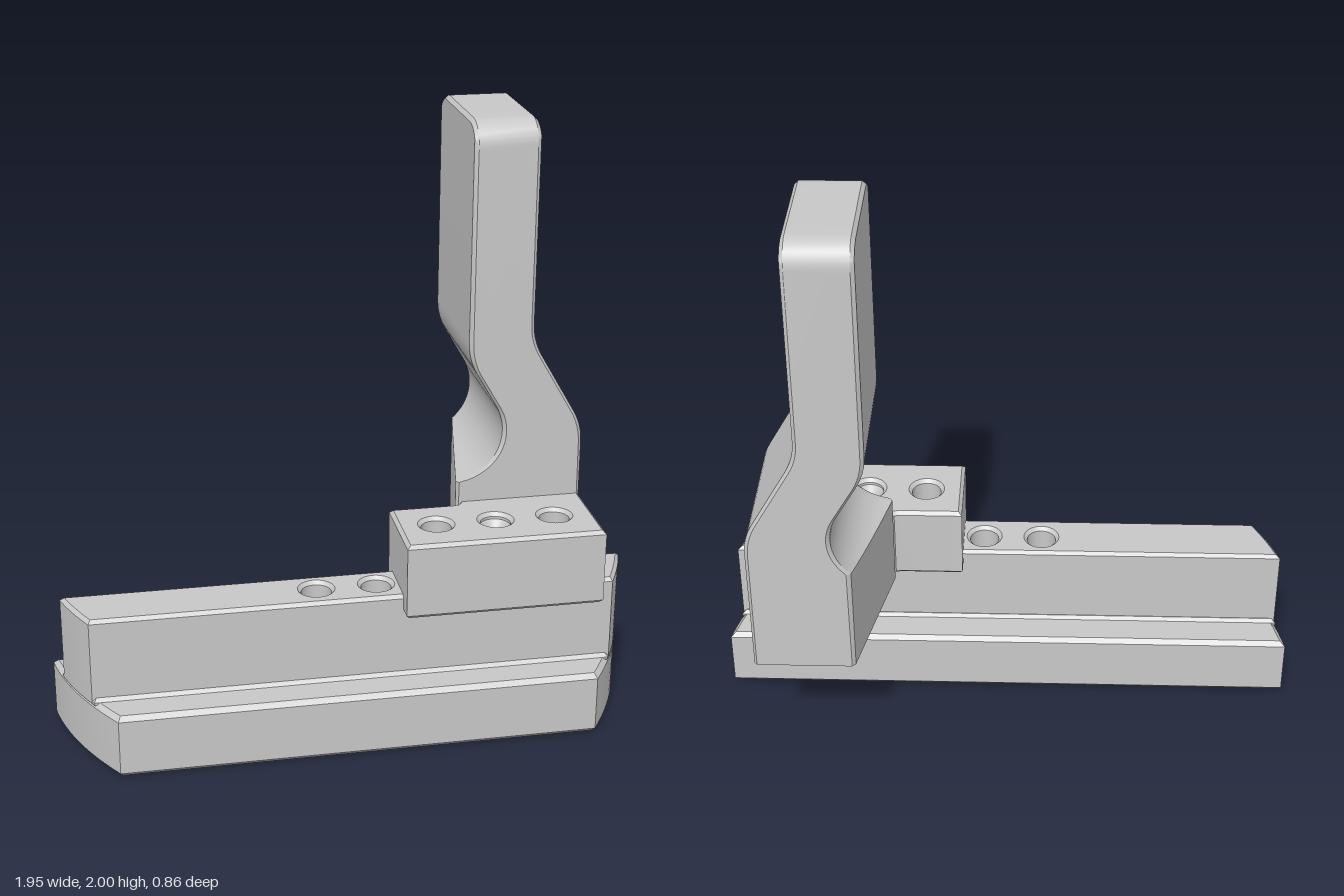
import * as THREE from 'three';
import { toCreasedNormals } from 'three/addons/utils/BufferGeometryUtils.js';

const V = (x, y) => new THREE.Vector2(x, y);
const BEVEL = 0.012;

// Upright block from a plan outline of [x, z] points, with chamfered round holes
function planBlock(outline, y0, y1, holes = [], bevel = BEVEL) {
  const shape = new THREE.Shape(outline.map(([x, z]) => V(x, -z)));
  for (const [x, z, r] of holes) {
    shape.holes.push(new THREE.Path().absarc(x, -z, r, 0, Math.PI * 2, true));
  }
  const geo = new THREE.ExtrudeGeometry(shape, {
    depth: y1 - y0 - 2 * bevel, curveSegments: 14, bevelEnabled: true,
    bevelSize: bevel, bevelThickness: bevel, bevelOffset: -bevel, bevelSegments: 1,
  });
  geo.rotateX(-Math.PI / 2).translate(0, y0 + bevel, 0);
  return toCreasedNormals(geo, 0.5);
}

// Plan outline of the rail between two depths, with bowed ends
function railOutline(z0, z1) {
  const end = z => 0.976 - 0.17 * z - 0.59 * z * z;
  const right = [];
  for (let i = 0; i <= 12; i++) {
    const z = z1 + (z0 - z1) * i / 12;
    right.push([end(z), z]);
  }
  return [...right, ...right.map(([x, z]) => [-x, z]).reverse()];
}

// Softened corner b between a and c, starting t away from it
function softCorner(a, b, c, t) {
  const p = b.clone().add(a.clone().sub(b).setLength(t));
  const q = b.clone().add(c.clone().sub(b).setLength(t));
  return new THREE.QuadraticBezierCurve(p, b, q).getPoints(6);
}

// Side outline of the arm, anticlockwise, for a given lower wall and top height
function armProfile(wall, top, inset) {
  const cx = 0.37, cy = 0.955, r = 0.175, start = Math.PI / 6;
  const stop = -Math.acos((wall - cx) / r);
  const neck = V(cx + r * Math.cos(start), cy + r * Math.sin(start));
  const pts = [
    V(wall, 0.448), V(0.819, 0.448),
    ...softCorner(V(0.819, 0.448), V(0.819, 0.955), V(0.641, 1.263), 0.06),
    ...softCorner(V(0.819, 0.955), V(0.641, 1.263), V(0.641, 1.8), 0.06),
    V(0.641, top - BEVEL), V(0.641 - BEVEL, top),
    V(0.424 + BEVEL, top), V(0.424, top - BEVEL),
    ...softCorner(V(0.424, 1.8), V(0.424, 1.21), neck, 0.06),
  ];
  for (let i = 0; i <= 18; i++) {
    const a = start + (stop - start) * i / 18;
    pts.push(V(cx + r * Math.cos(a), cy + r * Math.sin(a)));
  }
  // Edge chamfer: pull the outline in sideways
  return pts.map((p, i) => {
    const n = pts.length;
    const t = pts[(i + 1) % n].clone().sub(pts[(i + n - 1) % n]).normalize();
    return V(p.x - inset * t.y, p.y);
  });
}

// Arm lofted from back to front, with rounded upper corners and slanted lower wall
function armGeometry() {
  const back = -0.432, front = 0.052, r = 0.08;
  const chamferEnd = Math.acos(1 - BEVEL / r);
  const angles = [0, 1, 2, 3].map(i => chamferEnd * i / 3);
  for (let i = 1; i <= 6; i++) angles.push(chamferEnd + (Math.PI / 2 - chamferEnd) * i / 6);
  const corner = angles.map(a => [r * (1 - Math.cos(a)), 2 - r * (1 - Math.sin(a))]);

  // Stations: depth, top height, distance from the nearer end
  const stations = corner.map(([d, top]) => [back + d, top, d]);
  for (let i = 1; i < 6; i++) {
    stations.push([back + r + (front - back - 2 * r) * i / 6, 2, r]);
  }
  stations.push(...corner.slice().reverse().map(([d, top]) => [front - d, top, d]));

  const sections = stations.map(([z, top, d]) => {
    const wall = 0.487 - 0.1 * (z - back) / (front - back);
    return armProfile(wall, top, Math.max(0, BEVEL - d));
  });
  const n = sections[0].length, last = sections.length - 1;
  const positions = [], index = [];
  sections.forEach((s, i) => s.forEach(p => positions.push(p.x, p.y, stations[i][0])));
  for (let i = 0; i < last; i++) {
    for (let j = 0; j < n; j++) {
      const k = (j + 1) % n;
      const a = i * n + j, b = i * n + k, c = b + n, d = a + n;
      index.push(a, b, c, a, c, d);
    }
  }
  // End caps
  for (const [a, b, c] of THREE.ShapeUtils.triangulateShape(sections[0].slice(), [])) {
    index.push(c, b, a);
  }
  for (const [a, b, c] of THREE.ShapeUtils.triangulateShape(sections[last].slice(), [])) {
    index.push(last * n + a, last * n + b, last * n + c);
  }
  const geo = new THREE.BufferGeometry();
  geo.setAttribute('position', new THREE.Float32BufferAttribute(positions, 3));
  geo.setIndex(index);
  return toCreasedNormals(geo, 0.5);
}

export function createModel() {
  const group = new THREE.Group();
  const grey = new THREE.MeshStandardMaterial({ color: 0xc8c8c8 });
  grey.name = 'light grey';
  const add = (name, geo) => {
    const mesh = new THREE.Mesh(geo, grey);
    mesh.name = name;
    group.add(mesh);
  };
  const holeZ = 0.21, holeR = 0.05;

  // Rail: wide foot, narrow rib and the sloped join between them
  add('railFoot', planBlock(railOutline(-0.004, 0.432), 0, 0.22, [], 0.016));
  add('railRib', planBlock(railOutline(0.12, 0.31), 0.2, 0.51,
    [-0.115, 0.085].map(x => [x, holeZ, holeR])));
  add('ribJoin', planBlock(railOutline(0.108, 0.322), 0.2, 0.232,
    [-0.115, 0.085].map(x => [x, holeZ, holeR])));

  // Bracket sitting over the rib
  const bracket = [
    [0.157, 0.364], [0.819, 0.364], [0.819, 0.035], [0.402, 0.035],
    [0.398, 0.052], [0.388, 0.064], [0.37, 0.068], [0.157, 0.068],
  ];
  add('bracket', planBlock(bracket, 0.448, 0.71,
    [0.285, 0.485, 0.685].map(x => [x, holeZ, holeR])));

  // Conical hole bottoms: [x, rim height, tip height]
  const pits = [[-0.115, 0.33, 0.29], [0.285, 0.57, 0.525], [0.485, 0.69, 0.62], [0.685, 0.57, 0.525]];
  for (const [x, rim, tip] of pits) {
    const cone = new THREE.LatheGeometry([V(holeR + 0.001, rim), V(0, tip)], 28);
    add('holeBottom', cone.translate(x, 0, holeZ));
  }

  // Cranked upright arm
  add('arm', armGeometry());
  return group;
}
